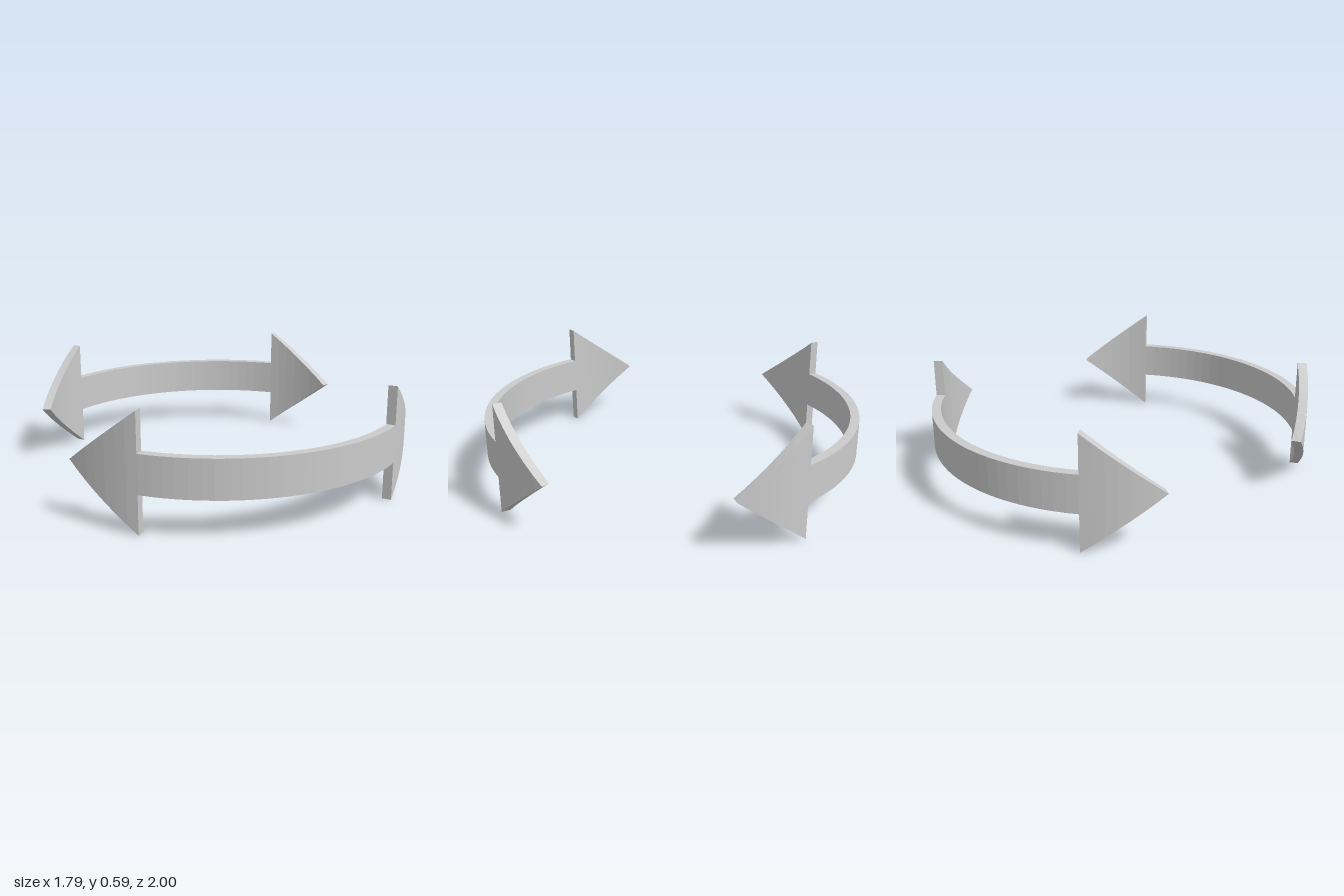
import * as THREE from 'three';

const OUTER = 1, INNER = 0.953;
const MID_Y = 0.293, SHAFT_HALF = 0.097, HEAD_HALF = 0.293;
const BASE = THREE.MathUtils.degToRad(40.4);  // angle where a head starts
const TIP = THREE.MathUtils.degToRad(63.25);  // angle of a head's point

const material = new THREE.MeshStandardMaterial({ color: 0xcccccc, flatShading: true });

// Bends a box around the y axis from angle a0 to a1; halfHeight gives its profile
function bentBand(name, a0, a1, segments, halfHeight) {
  const geometry = new THREE.BoxGeometry(1, 2, 1, segments, 1, 1);
  const p = geometry.attributes.position;
  for (let i = 0; i < p.count; i++) {
    const a = THREE.MathUtils.lerp(a0, a1, p.getX(i) + 0.5);
    const r = THREE.MathUtils.lerp(INNER, OUTER, p.getZ(i) + 0.5);
    p.setXYZ(i, r * Math.sin(a), MID_Y + p.getY(i) * halfHeight(a), r * Math.cos(a));
  }
  geometry.computeVertexNormals();
  const mesh = new THREE.Mesh(geometry, material);
  mesh.name = name;
  return mesh;
}

// One curved arrow with a point at each end
function doubleArrow(name) {
  const arrow = new THREE.Group();
  arrow.name = name;
  const taper = a => HEAD_HALF * Math.max(0, (TIP - Math.abs(a)) / (TIP - BASE));
  arrow.add(
    bentBand('shaft', -BASE, BASE, 24, () => SHAFT_HALF),
    bentBand('leftHead', BASE, TIP, 7, taper),
    bentBand('rightHead', -TIP, -BASE, 7, taper)
  );
  return arrow;
}

export function createModel() {
  const model = new THREE.Group();
  model.name = 'curvedArrows';
  const front = doubleArrow('frontArrow');
  const back = doubleArrow('backArrow');
  back.rotation.y = Math.PI;
  model.add(front, back);
  return model;
}
